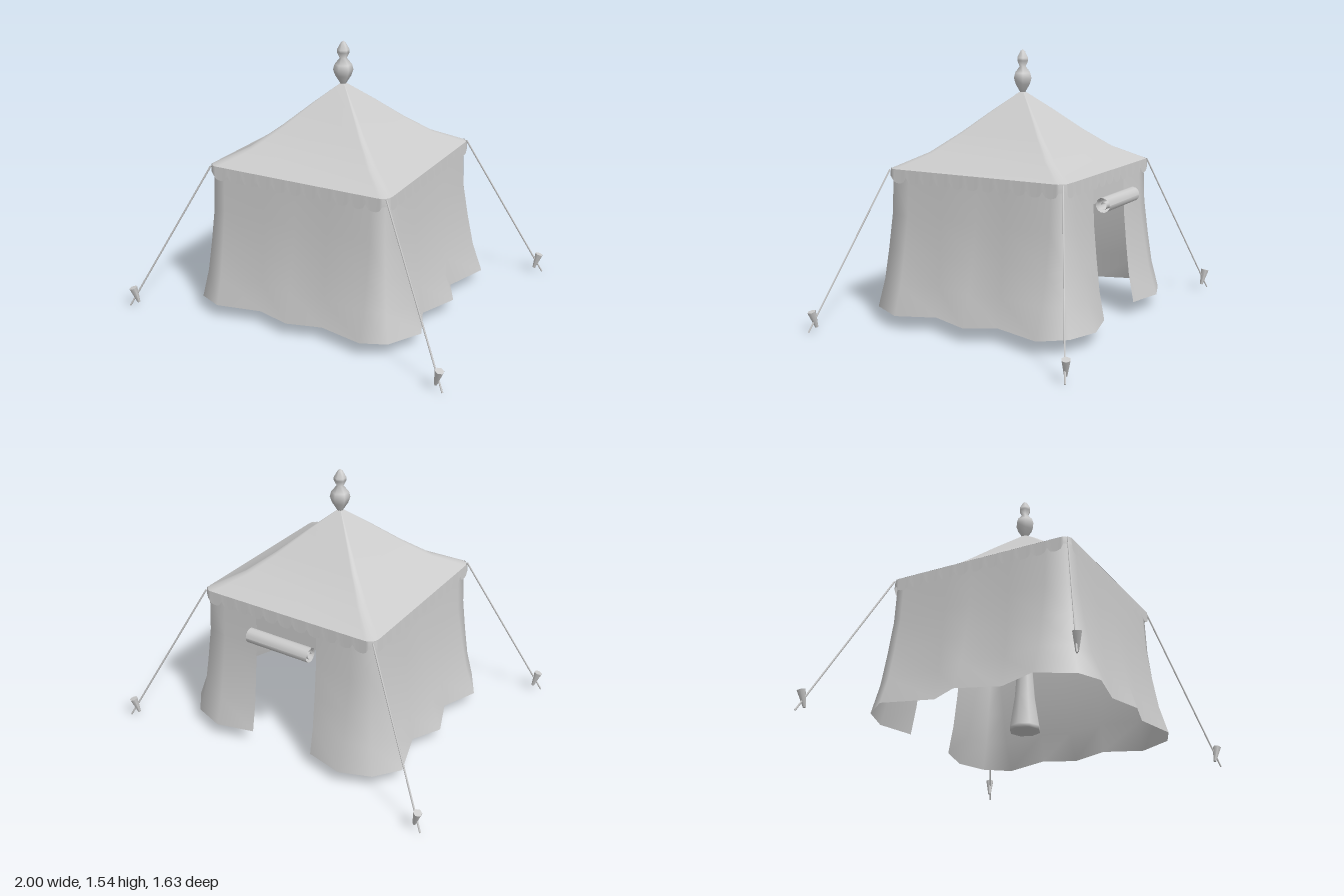
import * as THREE from 'three';

const solid = new THREE.MeshStandardMaterial({ color: 0xcccccc });
const cloth = new THREE.MeshStandardMaterial({ color: 0xcccccc, side: THREE.DoubleSide });
const V = (x, y, z) => new THREE.Vector3(x, y, z);

// smooth surface skinned over rows holding equally many points
function sheet(rows, closed) {
  const n = rows[0].length, index = [];
  for (let i = 0; i < rows.length - 1; i++) {
    for (let j = 0; j < (closed ? n : n - 1); j++) {
      const k = (j + 1) % n, a = i * n + j, b = i * n + k;
      index.push(a, b, a + n, b, b + n, a + n);
    }
  }
  const geo = new THREE.BufferGeometry().setFromPoints(rows.flat());
  geo.setIndex(index);
  geo.computeVertexNormals();
  return geo;
}

// horizontal square with rounded corners
function roundedSquare(half, radius, y) {
  const pts = [];
  for (let c = 0; c < 4; c++) {
    for (let i = 0; i <= 4; i++) {
      const t = (c + i / 4) * Math.PI / 2, m = (c + 0.5) * Math.PI / 2;
      const k = (half - radius) * Math.SQRT2;
      pts.push(V(Math.sin(m) * k + Math.sin(t) * radius, y, Math.cos(m) * k + Math.cos(t) * radius));
    }
  }
  return pts;
}

// cylinder or square bar running from a to b
function bar(a, b, ra, rb, sides) {
  const d = b.clone().sub(a);
  const geo = new THREE.CylinderGeometry(rb, ra, d.length(), sides);
  if (sides === 4) geo.rotateY(Math.PI / 4);
  geo.applyQuaternion(new THREE.Quaternion().setFromUnitVectors(V(0, 1, 0), d.normalize()));
  return geo.translate(...a.clone().add(b).multiplyScalar(0.5).toArray());
}

export function createModel() {
  const model = new THREE.Group();
  const add = (name, geo, mat = solid) => {
    const mesh = new THREE.Mesh(geo, mat);
    mesh.name = name;
    model.add(mesh);
  };

  // roof: concave pyramid
  const roofProfile = [[0.56, 0.88], [0.4, 0.963], [0.265, 1.072], [0.13, 1.195], [0.014, 1.295]];
  add('roof', sheet(roofProfile.map(([h, y]) => roundedSquare(h, h * 0.1, y)), true), cloth);

  // walls: wavy hem blending into a square top, open at the back doorway
  const half = [[0.2, -0.63], [0.42, -0.685], [0.6, -0.62], [0.71, -0.48], [0.62, -0.2], [0.71, -0.03],
    [0.62, 0.2], [0.71, 0.42], [0.6, 0.615], [0.46, 0.675], [0.2, 0.62], [0, 0.675]];
  const hem = [...half, ...half.slice(0, -1).reverse().map(([x, z]) => [-x, z])];
  const levels = [[0.88, 0], [0.62, 0.1], [0.42, 0.34], [0.24, 0.6], [0.077, 1]];
  const wallRows = levels.map(([y, t]) => hem.map(([x, z]) => {
    const corner = Math.abs(x) > 0.55 && Math.abs(z) > 0.55;
    const m = corner ? 0.535 : 0.552;
    const tx = THREE.MathUtils.clamp(x, -m, m), tz = THREE.MathUtils.clamp(z, -m, m);
    return V(THREE.MathUtils.lerp(tx, x, t), y, THREE.MathUtils.lerp(tz, z, t));
  }));
  add('walls', sheet(wallRows, false), cloth);

  // valance: scalloped trim hanging from the eaves
  const top = [], bottom = [], steps = 66;
  for (let side = 0; side < 4; side++) {
    for (let i = 0; i <= steps; i++) {
      const u = -0.53 + 1.06 * i / steps, v = (i % 6) / 3 - 1;
      const turn = side * Math.PI / 2, axis = V(0, 1, 0);
      const drop = 0.035 * Math.sqrt(Math.max(0, 1 - v * v));
      top.push(V(u, 0.88, 0.559).applyAxisAngle(axis, turn));
      bottom.push(V(u, 0.836 - drop, 0.562).applyAxisAngle(axis, turn));
    }
  }
  add('valance', sheet([bottom, top], true), cloth);

  // strip above the doorway and the rolled-up door flap
  const strip = [0.72, 0.88].map((y) => [V(0.2, y, -0.555), V(-0.2, y, -0.555)]);
  add('doorStrip', sheet(strip, false), cloth);
  const spiral = (x) => Array.from({ length: 33 }, (_, i) => {
    const a = i / 32 * Math.PI * 5, r = 0.012 + 0.03 * Math.min(1, i / 20);
    return V(x, 0.72 + r * Math.sin(a), -0.613 + r * Math.cos(a));
  });
  add('rolledFlap', sheet([spiral(-0.2), spiral(0.2)], false), cloth);

  // centre pole with flared foot, and finial on top
  const lathe = (pts, sides) => new THREE.LatheGeometry(pts.map(([r, y]) => new THREE.Vector2(r, y)), sides);
  add('centrePole', lathe([[0, 0.053], [0.087, 0.053], [0.087, 0.077], [0.06, 0.25], [0.042, 0.48],
    [0.03, 0.7], [0.02, 1.29]], 8));
  add('finial', lathe([[0.012, 1.285], [0.02, 1.3], [0.046, 1.34], [0.058, 1.375], [0.05, 1.405], [0.02, 1.442],
    [0.036, 1.475], [0.036, 1.49], [0.014, 1.53], [0, 1.54]], 6));

  // inner frame, guy ropes and pegs
  const corners = [[1, 1], [1, -1], [-1, -1], [-1, 1]];
  corners.forEach(([sx, sz], i) => {
    const [nx, nz] = corners[(i + 1) % 4];
    add('eaveBeam', bar(V(sx * 0.5, 0.81, sz * 0.5), V(nx * 0.5, 0.81, nz * 0.5), 0.026, 0.026, 4));
    add('spoke', bar(V(0, 0.66, 0), V(sx * 0.5, 0.81, sz * 0.5), 0.02, 0.02, 4));
    add('guyRope', bar(V(sx * 0.55, 0.875, sz * 0.55), V(sx * 0.998, 0, sz * 0.798), 0.005, 0.005, 6));
    add('peg', bar(V(sx * 0.951, 0.025, sz * 0.777), V(sx * 0.975, 0.117, sz * 0.79), 0.009, 0.025, 6));
  });
  return model;
}
